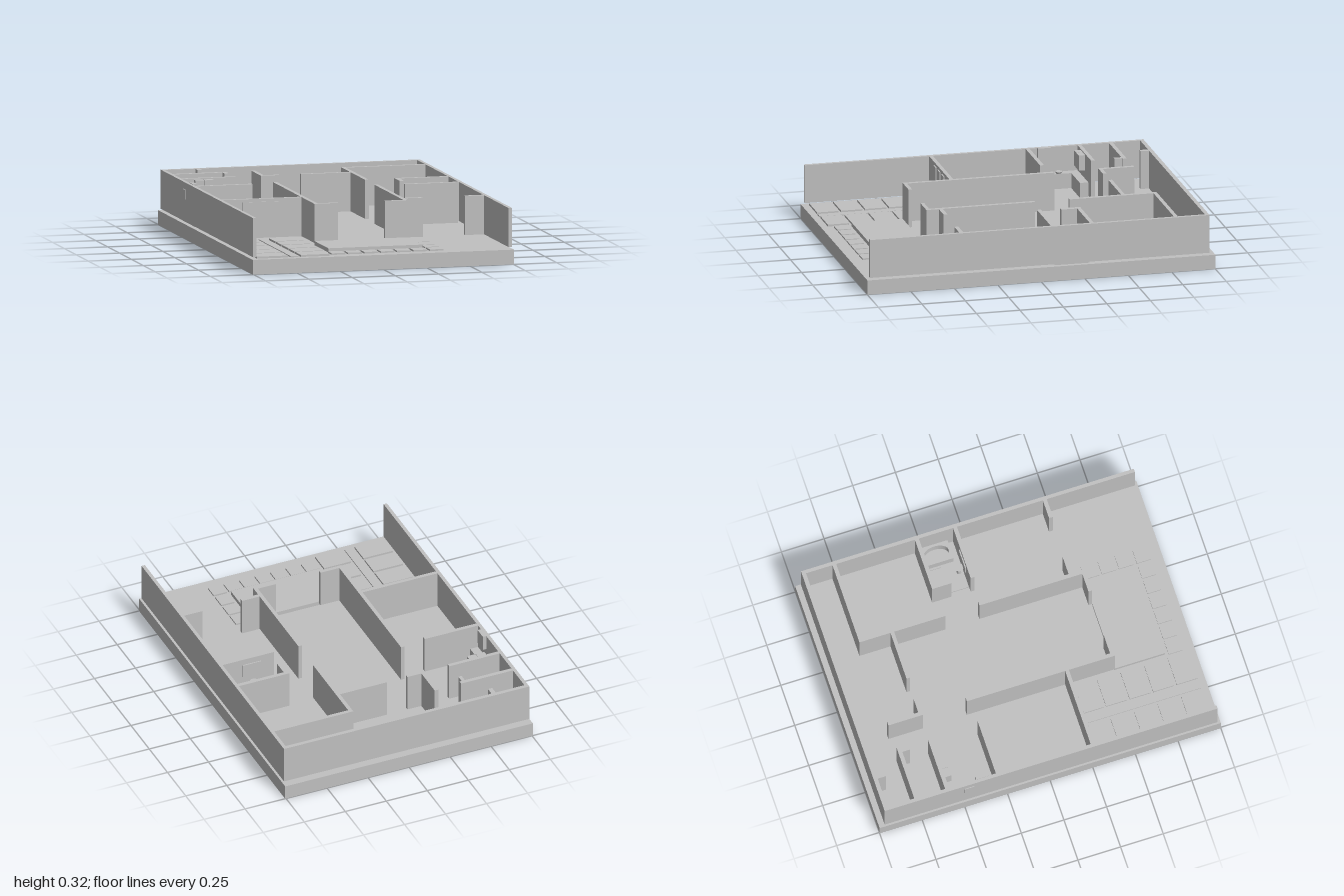
import * as THREE from 'three';

export function createModel() {
  const root = new THREE.Group();
  root.name = 'houseFloorPlan';
  const plaster = new THREE.MeshStandardMaterial({ color: 0xc0c0c0 });
  plaster.name = 'plainGrey';

  const group = (name) => {
    const g = new THREE.Group();
    g.name = name;
    root.add(g);
    return g;
  };
  const add = (parent, name, geo, x = 0, y = 0, z = 0) => {
    const m = new THREE.Mesh(geo, plaster);
    m.name = name;
    m.position.set(x, y, z);
    parent.add(m);
    return m;
  };
  // box given by its limits on each axis
  const box = (parent, name, x0, x1, y0, y1, z0, z1) =>
    add(parent, name, new THREE.BoxGeometry(x1 - x0, y1 - y0, z1 - z0),
      (x0 + x1) / 2, (y0 + y1) / 2, (z0 + z1) / 2);

  const GROUND = 0.083, BASE = 0.095, TOP = 0.315;

  // ground slab
  box(root, 'groundSlab', -0.755, 0.755, 0, GROUND, -1, 1);

  // walls, hovering slightly above the slab: [x0, x1, z0, z1]
  const walls = (name, list) => {
    const g = group(name);
    for (const [x0, x1, z0, z1] of list) box(g, 'wall', x0, x1, BASE, TOP, z0, z1);
  };
  walls('outerWalls', [
    [-0.748, -0.728, -0.968, 0.983],
    [0.728, 0.748, -0.968, 0.983],
    [-0.728, 0.728, -0.968, -0.945],
  ]);
  walls('rightRoomWalls', [
    [-0.553, -0.527, -0.945, -0.897],
    [-0.728, -0.412, -0.788, -0.765],
    [-0.445, -0.425, -0.765, -0.72],
    [-0.728, -0.42, -0.607, -0.585],
    [-0.728, -0.403, -0.31, -0.287],
    [-0.728, -0.272, 0.246, 0.268],
  ]);
  walls('hallWalls', [
    [-0.272, -0.25, -0.79, -0.587],
    [-0.25, -0.165, -0.608, -0.587],
    [-0.04, 0.246, -0.608, -0.587],
    [0.246, 0.268, -0.79, -0.285],
    [-0.272, -0.25, -0.33, 0.537],
    [-0.25, -0.135, 0.516, 0.537],
    [0.246, 0.268, -0.087, 0.537],
    [0.135, 0.246, 0.516, 0.537],
  ]);
  walls('leftRoomWalls', [
    [0.268, 0.728, -0.79, -0.768],
    [0.42, 0.728, -0.307, -0.284],
    [0.42, 0.446, -0.284, -0.193],
    [0.415, 0.728, -0.083, -0.06],
    [0.268, 0.375, 0.443, 0.466],
    [0.617, 0.728, 0.443, 0.466],
  ]);

  // entrance porch
  box(root, 'porchStep', -0.272, 0.272, GROUND, 0.106, 0.537, 0.83);

  // stepping stones around the porch
  const path = group('pathTiles');
  for (let i = 0; i < 7; i++) {
    const x = -0.28 + i * 0.0945;
    box(path, 'pathTile', x, x + 0.08, GROUND, 0.092, 0.85, 0.93);
  }
  for (let i = 0; i < 3; i++) {
    const z = 0.545 + i * 0.1;
    box(path, 'pathTile', 0.287, 0.367, GROUND, 0.092, z, z + 0.086);
  }

  // paved yard, two columns of slabs with a channel between
  const yard = group('yardTiles');
  for (let i = 0; i < 5; i++) {
    const z = 0.285 + i * 0.138;
    box(yard, 'yardTile', -0.72, -0.54, GROUND, 0.094, z, z + 0.122);
    box(yard, 'yardTile', -0.465, -0.3, GROUND, 0.094, z, z + 0.122);
  }
  box(yard, 'channelCover', -0.525, -0.48, GROUND, 0.09, 0.285, 0.96);

  // tall panels facing the yard
  const panels = group('windowPanels');
  for (const x of [-0.613, -0.525, -0.432])
    box(panels, 'windowPanel', x, x + 0.056, 0.112, 0.298, 0.267, 0.274);

  // kitchen
  const kitchen = group('kitchen');
  box(kitchen, 'sideCounter', -0.728, -0.68, GROUND, 0.17, -0.585, -0.31);
  box(kitchen, 'rearCounter', -0.68, -0.484, GROUND, 0.17, -0.585, -0.537);
  for (const x of [-0.66, -0.606])
    box(kitchen, 'wallCabinet', x, x + 0.052, 0.22, 0.308, -0.585, -0.548);
  box(kitchen, 'rangeHood', -0.73, -0.706, 0.23, 0.318, -0.426, -0.352);
  box(kitchen, 'hoodVent', -0.752, -0.746, 0.22, 0.275, -0.5, -0.442);
  add(kitchen, 'kitchenBasin', new THREE.CylinderGeometry(0.021, 0.016, 0.012, 24), -0.693, 0.176, -0.468);

  // bathroom
  const bath = group('bathroom');
  box(bath, 'bathroomFloor', 0.446, 0.728, GROUND, 0.092, -0.284, -0.083);
  const tubShape = new THREE.Shape();
  tubShape.moveTo(-0.056, -0.084).lineTo(0.056, -0.084).lineTo(0.056, 0.084).lineTo(-0.056, 0.084);
  const bowl = new THREE.Path();
  bowl.absellipse(0, 0, 0.043, 0.072, 0, Math.PI * 2);
  tubShape.holes.push(bowl);
  const tub = add(bath, 'bathtub',
    new THREE.ExtrudeGeometry(tubShape, { depth: 0.055, bevelEnabled: false, curveSegments: 20 }),
    0.672, 0.092, -0.2);
  tub.rotation.x = -Math.PI / 2;
  box(bath, 'toiletTank', 0.485, 0.537, 0.092, 0.165, -0.284, -0.262);
  const seat = add(bath, 'toiletBowl', new THREE.CylinderGeometry(0.026, 0.017, 0.045, 20), 0.511, 0.115, -0.237);
  seat.scale.z = 1.3;
  box(bath, 'showerScreen', 0.582, 0.588, 0.15, 0.157, -0.284, -0.203);
  add(bath, 'basinStand', new THREE.CylinderGeometry(0.01, 0.013, 0.06, 16), 0.547, 0.122, -0.108);
  add(bath, 'basin', new THREE.CylinderGeometry(0.025, 0.014, 0.022, 20), 0.547, 0.16, -0.108);
  box(bath, 'mirror', 0.495, 0.606, 0.2, 0.28, -0.09, -0.083);

  // store room floor
  box(root, 'storeRoomFloor', -0.72, -0.42, GROUND, 0.092, -0.945, -0.79);

  return root;
}
